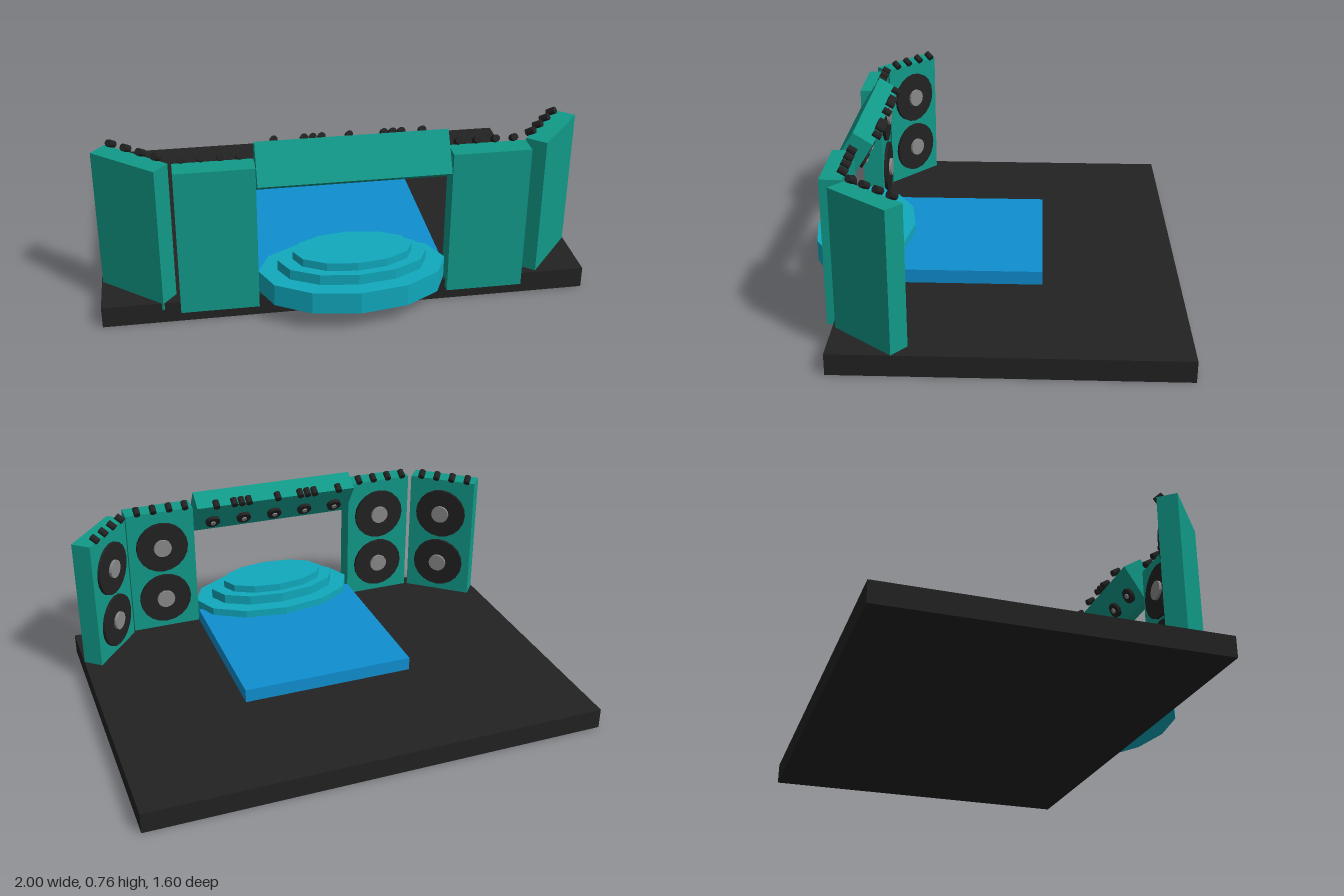
import * as THREE from 'three';

const mat = (color) => new THREE.MeshStandardMaterial({ color, flatShading: true });

export function createModel() {
  const model = new THREE.Group();
  const teal = mat(0x119988), cyan = mat(0x10a9bd), blue = mat(0x0f8fd0);
  const black = mat(0x222222), grey = mat(0x888888);

  const add = (parent, name, geometry, material, x, y, z) => {
    const mesh = new THREE.Mesh(geometry, material);
    mesh.name = name;
    mesh.position.set(x, y, z);
    parent.add(mesh);
    return mesh;
  };
  const box = (w, h, d) => new THREE.BoxGeometry(w, h, d);

  // Disc whose axis runs along z
  const disc = (r, depth, sides, rTip = r) =>
    new THREE.CylinderGeometry(r, rTip, depth, sides).rotateX(Math.PI / 2);

  // Small spotlight: barrel tilted over the back edge
  const lampGeometry = disc(0.015, 0.038, 10);
  const lamp = (parent, x, y, z, tilt) => {
    add(parent, 'spotlight', lampGeometry, black, x, y, z).rotation.x = tilt;
  };

  // Floor and raised platform
  add(model, 'floor', box(2, 0.09, 1.405), black, 0, 0.045, -0.0975);
  add(model, 'platform', box(0.77, 0.06, 0.76), blue, 0.02, 0.12, 0.16);

  // Stacked twelve-sided oval steps: x radius, z radius, bottom, top
  [[0.385, 0.22, 0.09, 0.185], [0.307, 0.157, 0.185, 0.23], [0.245, 0.125, 0.23, 0.265]]
    .forEach(([rx, rz, y0, y1]) => {
      const g = new THREE.CylinderGeometry(1, 1, y1 - y0, 12).scale(rx, 1, rz);
      add(model, 'ovalStep', g, cyan, 0.02, (y0 + y1) / 2, 0.575);
    });

  // Speaker walls: two flat and two angled, drivers facing the back
  const wall = (name, x, z, turn, depth) => {
    const g = new THREE.Group();
    g.name = name;
    g.position.set(x, 0, z);
    g.rotation.y = turn;
    model.add(g);
    const back = -depth / 2;
    add(g, 'cabinet', box(0.315, 0.625, depth), teal, 0, 0.3725, 0);
    for (const y of [0.245, 0.51]) {
      add(g, 'speakerCone', disc(0.122, 0.016, 20), black, 0, y, back - 0.006);
      add(g, 'speakerDome', disc(0.042, 0.02, 16), grey, 0, y, back - 0.016);
    }
    for (let i = 0; i < 4; i++) lamp(g, -0.12 + i * 0.075, 0.701, back + 0.003, -0.55);
  };
  wall('rightWall', -0.527, 0.595, 0, 0.09);
  wall('leftWall', 0.563, 0.595, 0, 0.09);
  wall('rightWing', -0.847, 0.477, -0.695, 0.085);
  wall('leftWing', 0.863, 0.443, 0.876, 0.09);

  // Tilted overhead beam carrying lights
  const beam = new THREE.Group();
  beam.name = 'overheadBeam';
  beam.position.set(0.019, 0.655, 0.5575);
  beam.rotation.set(-0.565, -0.012, 0);
  model.add(beam);
  add(beam, 'beamBody', box(0.765, 0.178, 0.095), teal, 0, 0, 0);
  for (let i = -2; i <= 2; i++) {
    add(beam, 'beamSpeaker', disc(0.034, 0.02, 14), black, i * 0.15, -0.02, -0.053);
    add(beam, 'beamSpeakerDome', disc(0.012, 0.008, 10), grey, i * 0.15, -0.02, -0.065);
  }
  for (const x of [-0.3, -0.18, -0.145, -0.11, 0, 0.14, 0.175, 0.21, 0.295]) {
    lamp(beam, x, 0.103, -0.045, 0);
  }
  return model;
}
